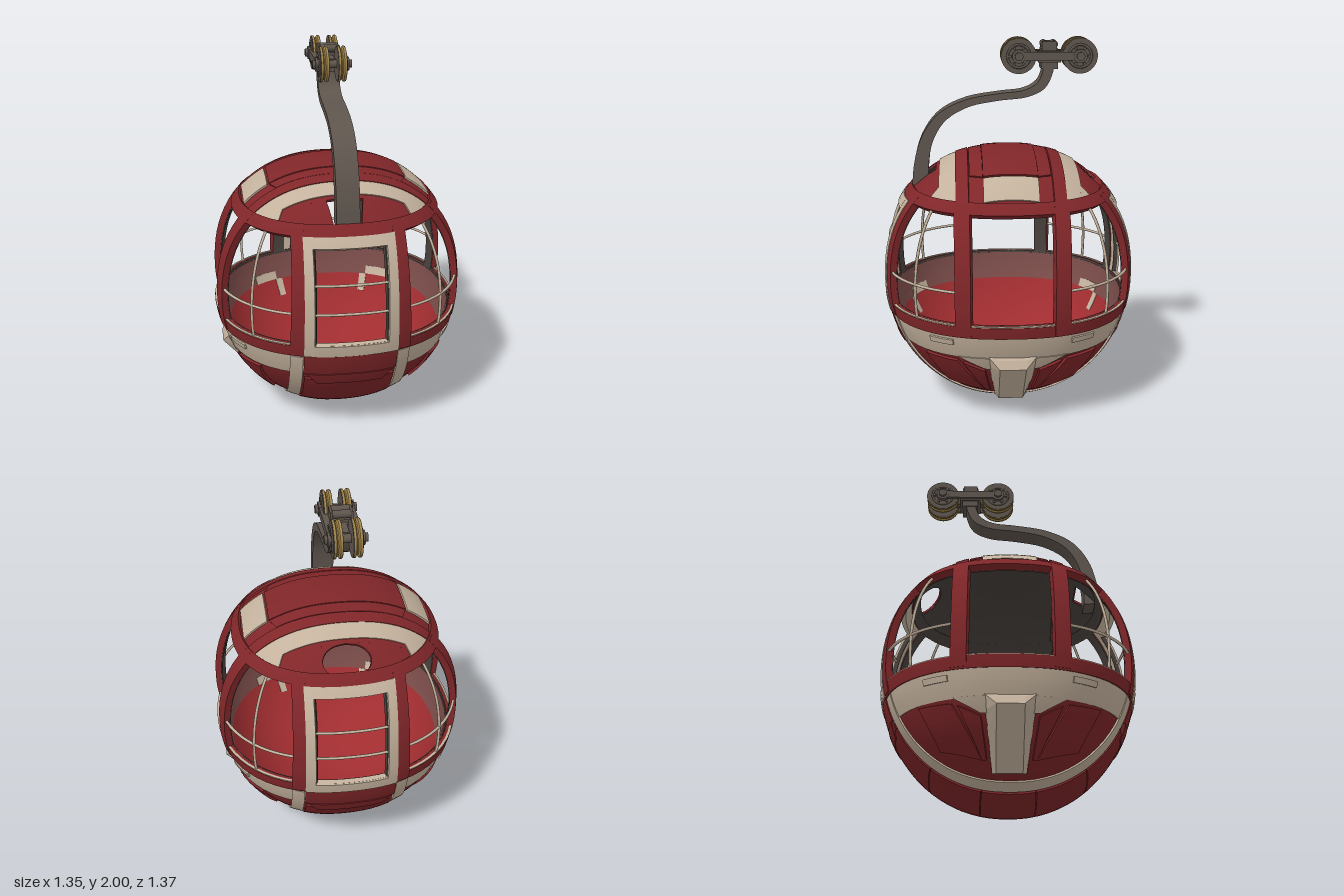
import * as THREE from 'three';
import { toCreasedNormals } from 'three/addons/utils/BufferGeometryUtils.js';
import { ConvexGeometry } from 'three/addons/geometries/ConvexGeometry.js';

const mat = (name, color) => {
  const m = new THREE.MeshStandardMaterial({ color, side: THREE.DoubleSide });
  m.name = name;
  return m;
};

// Cabin surface: a rounded, slightly squared ball
const CY = 0.72, A = 0.672, TOP = 0.68, BOTTOM = 0.708, P = 2.3;
const root = (v, e) => Math.pow(Math.max(v, 0), 1 / e);
const pw = (v, e) => Math.pow(Math.abs(v), e);
const radiusAt = y => {
  const up = y > CY, e = up ? P : 2;
  return A * root(1 - pw((y - CY) / (up ? TOP : BOTTOM), e), e);
};
const other = (h, v) => root(pw(h, P) - pw(v, P), P);
const onFront = s => (x, y) => new THREE.Vector3(x, y - CY, s * other(radiusAt(y), x));
const onSide = s => (z, y) => new THREE.Vector3(s * other(radiusAt(y), z), y - CY, z);
const onTop = (x, z) => new THREE.Vector3(x, TOP * root(1 - pw(root(pw(x, P) + pw(z, P), P) / A, P), P), z);
const around = (t, y) => {
  const s = Math.sin(t), c = Math.cos(t), r = radiusAt(y) / root(pw(s, P) + pw(c, P), P);
  return new THREE.Vector3(r * s, y - CY, r * c);
};
// Sweeps under the belly from back to front at a given x
const under = (x, t) => {
  const z = Math.sin(t) * other(A, x), h = root(pw(x, P) + pw(z, P), P);
  return new THREE.Vector3(x, -BOTTOM * root(1 - pw(h / A, 2), 2), z);
};
// Bends a four-cornered outline onto a mapping
const quad = (map, a, b, c, d) => (u, v) => map(
  (a[0] * (1 - u) + b[0] * u) * (1 - v) + (d[0] * (1 - u) + c[0] * u) * v,
  (a[1] * (1 - u) + b[1] * u) * (1 - v) + (d[1] * (1 - u) + c[1] * u) * v);
const rect = (map, u0, u1, v0, v1) => quad(map, [u0, v0], [u1, v0], [u1, v1], [u0, v1]);

// A curved plate with thickness, lying on the cabin surface
function plateGeometry(f, off, thick, nu, nv) {
  const pos = [], idx = [], n = (nu + 1) * (nv + 1);
  for (const o of [off, off - thick])
    for (let j = 0; j <= nv; j++)
      for (let i = 0; i <= nu; i++) {
        const p = f(i / nu, j / nv).multiplyScalar(1 + o / A);
        pos.push(p.x, p.y + CY, p.z);
      }
  const mid = f(0.5, 0.5);
  const normal = f(0.55, 0.5).sub(mid).cross(f(0.5, 0.55).sub(mid));
  const flip = normal.dot(mid) < 0;
  const face = (a, b, c, d) => flip ? idx.push(a, c, b, a, d, c) : idx.push(a, b, c, a, c, d);
  const at = (i, j) => j * (nu + 1) + i;
  for (let j = 0; j < nv; j++)
    for (let i = 0; i < nu; i++) {
      const a = at(i, j), b = at(i + 1, j), c = at(i + 1, j + 1), d = at(i, j + 1);
      face(a, b, c, d);
      face(n + d, n + c, n + b, n + a);
    }
  const wall = (a, b) => face(b, a, n + a, n + b);
  for (let i = 0; i < nu; i++) { wall(at(i, 0), at(i + 1, 0)); wall(at(i + 1, nv), at(i, nv)); }
  for (let j = 0; j < nv; j++) { wall(at(nu, j), at(nu, j + 1)); wall(at(0, j + 1), at(0, j)); }
  const g = new THREE.BufferGeometry();
  g.setAttribute('position', new THREE.Float32BufferAttribute(pos, 3));
  g.setIndex(idx);
  return toCreasedNormals(g, 0.6);
}

export function createModel() {
  const model = new THREE.Group();
  const red = mat('red paint', 0x802629), cream = mat('cream paint', 0xc4b29d);
  const metal = mat('dark metal', 0x5e554d), gold = mat('brass', 0xa3854a);
  const lining = mat('dark lining', 0x48413d), wallMat = mat('inner wall', 0x7a4c49);
  const floorMat = mat('inner floor', 0xa02d30);

  const add = (name, geo, m, parent = model) => {
    const mesh = new THREE.Mesh(geo, m);
    mesh.name = name;
    parent.add(mesh);
    return mesh;
  };
  const plate = (name, m, f, off, thick, nu = 10, nv = 10) => add(name, plateGeometry(f, off, thick, nu, nv), m);
  const lined = (name, m, f, off, thick, nu, nv) => {
    plate(name, m, f, off, thick, nu, nv);
    plate(name + 'Lining', lining, f, off - thick - 0.001, 0.004, nu, nv);
  };
  const FULL = Math.PI * 2, S = [1, -1];

  // Lower bowl, its inside, the belt, the two window rings and the sill
  const bowl = (t, k) => around(t, CY - BOTTOM * Math.cos(k));
  plate('lowerBowl', red, rect(bowl, 0, FULL, 0.001, 1.16), 0, 0.015, 64, 16);
  plate('innerFloor', floorMat, rect(bowl, 0, FULL, 0.001, 1.165), -0.022, 0.005, 64, 16);
  plate('innerWall', wallMat, rect(around, 0, FULL, 0.44, 0.6), -0.022, 0.005, 64, 6);
  plate('belt', cream, rect(around, 0, FULL, 0.42, 0.56), 0.004, 0.02, 64, 4);
  lined('lowerRing', red, rect(around, 0, FULL, 0.55, 0.613), 0.011, 0.03, 72, 3);
  plate('windowSill', cream, rect(around, 0, FULL, 0.61, 0.618), 0.009, 0.012, 72, 1);
  lined('upperRing', red, rect(around, 0, FULL, 1.158, 1.21), 0.014, 0.035, 72, 3);

  // Window posts, door frames and front plates
  for (const s of S) {
    const front = onFront(s), side = onSide(s);
    for (const m of S) {
      lined('doorPost', red, quad(front, [m * 0.235, 0.56], [m * 0.31, 0.56], [m * 0.285, 1.19], [m * 0.22, 1.19]), 0.015, 0.035, 3, 14);
      lined('sidePost', red, rect(side, m * 0.21, m * 0.288, 0.56, 1.2), 0.015, 0.035, 3, 14);
      plate('doorFrameSide', cream, quad(front, [m * 0.188, 0.555], [m * 0.24, 0.555], [m * 0.228, 1.158], [m * 0.183, 1.158]), 0.018, 0.035, 2, 14);
      plate('doorEdge', lining, quad(front, [m * 0.184, 0.615], [m * 0.19, 0.615], [m * 0.186, 1.112], [m * 0.178, 1.112]), 0.005, 0.025, 1, 14);
    }
    plate('doorFrameTop', cream, rect(front, -0.185, 0.185, 1.108, 1.158), 0.018, 0.035, 8, 3);
    plate('doorFrameBottom', cream, rect(front, -0.19, 0.19, 0.555, 0.617), 0.018, 0.035, 8, 3);
    plate('doorApron', red, rect(front, -0.24, 0.24, 0.43, 0.55), 0.013, 0.02, 10, 5);
    plate('doorApronLip', red, quad(front, [-0.17, 0.36], [0.17, 0.36], [0.22, 0.43], [-0.22, 0.43]), 0.017, 0.02, 10, 4);
  }

  // Belly stripes and segmented keel
  for (const s of S)
    plate('bellyStripe', cream, rect(under, s * 0.245, s * 0.31, -1.3, 1.3), 0.009, 0.02, 3, 48);
  const cuts = [-1.06, -0.64, -0.21, 0.21, 0.64, 1.06];
  for (let i = 0; i < 5; i++)
    plate('keelPanel', red, rect(under, -0.235, 0.235, cuts[i] + 0.003, cuts[i + 1] - 0.003), 0.012, 0.02, 10, 8);

  // Side brackets in two blocks, lower side panels, belt vents and their inner backs
  const waist = [[0.544, 0.26, 0.067], [0.505, 0.26, 0.105]];
  const bracketBlocks = [
    [[0.61, 0.43, 0.125], [0.575, 0.36, 0.12], [0.625, 0.415, 0.075], [0.643, 0.37, 0.068], ...waist],
    [...waist, [0.405, 0.1, 0.065], [0.365, 0.11, 0.085]]];
  for (const s of S) {
    const side = onSide(s);
    plate('beltDrop', cream, quad(side, [-0.14, 0.35], [0.14, 0.35], [0.28, 0.425], [-0.28, 0.425]), 0.007, 0.02, 12, 4);
    for (const block of bracketBlocks) {
      const pts = block.flatMap(([x, y, z]) => S.map(m => new THREE.Vector3(s * x, y, m * z)));
      add('sideBracket', new ConvexGeometry(pts), cream);
    }
    for (const m of S) {
      plate('sidePanel', red, quad(side, [m * 0.13, 0.17], [m * 0.33, 0.22], [m * 0.44, 0.41], [m * 0.28, 0.4]), 0.013, 0.02, 8, 8);
      plate('sidePanelInner', red, quad(side, [m * 0.11, 0.17], [m * 0.13, 0.17], [m * 0.25, 0.39], [m * 0.14, 0.34]), 0.013, 0.02, 6, 8);
      const turn = a => s * (m > 0 ? a : Math.PI - a);
      plate('beltVent', cream, rect(around, turn(0.9), turn(1.1), 0.5, 0.53), 0.012, 0.009, 6, 2);
      plate('innerPatch', cream, rect(around, turn(0.48), turn(0.72), 0.44, 0.49), -0.026, 0.005, 6, 2);
      plate('innerStripe', cream, rect(around, turn(0.42), turn(0.49), 0.34, 0.44), -0.026, 0.005, 3, 4);
    }
  }

  // Roof built in strips across the cabin, with an opening at each end
  const H0 = radiusAt(1.19);
  const edge = z => other(H0, z);
  const strip = (z0, z1, inner, outer) => (u, v) => {
    const z = z0 + (z1 - z0) * v, a = inner(z), b = outer(z);
    return onTop(a + (b - a) * u, z);
  };
  const wide = (z0, z1) => strip(z0, z1, z => -edge(z), edge);
  const END = H0 * 0.987, HOLE = 0.39;
  lined('roofCentre', red, wide(-0.28, 0.28), 0, 0.02, 32, 16);
  plate('roofPanel', red, rect(onTop, -0.36, 0.36, -0.14, 0.14), 0.012, 0.02, 16, 8);
  for (const s of S) {
    plate('roofSidePanel', red, quad(onTop, [-0.33, s * 0.21], [0.33, s * 0.21], [0.36, s * 0.142], [-0.36, s * 0.142]), 0.008, 0.02, 16, 4);
    plate('roofRib', red, wide(s * 0.215, s * 0.28), 0.01, 0.02, 32, 3);
    lined('roofStripeBase', red, wide(s * 0.28, s * HOLE), 0, 0.012, 32, 6);
    plate('roofStripe', cream, wide(s * 0.28, s * 0.368), 0.006, 0.01, 32, 4);
    const hole = s > 0 ? z => 0.095 - 0.2 * (z - HOLE)
      : z => 0.125 * Math.sqrt(Math.max(0, 1 - ((z + 0.46) / 0.07) ** 2));
    for (const m of S) {
      lined('roofEnd', red, strip(s * HOLE, s * END, z => m * Math.min(hole(z), edge(z)), z => m * edge(z)), 0, 0.012, 14, 20);
      plate('roofStripeCorner', cream, strip(s * 0.36, s * 0.43, z => m * (0.31 + (s * z - 0.36) * 0.6), z => m * edge(z)), 0.006, 0.01, 8, 4);
    }
    plate('roofSkylight', cream, rect(onTop, s * 0.37, s * 0.495, -0.14, 0.14), 0.011, 0.009, 8, 8);
  }

  // Thin rods across the corner windows and doors
  const tube = (name, pts) => add(name, new THREE.TubeGeometry(new THREE.CatmullRomCurve3(pts), 20, 0.008, 6), cream);
  const lift = p => p.setY(p.y + CY);
  const line = f => Array.from({ length: 9 }, (_, i) => lift(f(i / 8)));
  for (let c = 0; c < 4; c++) {
    const t = Math.PI / 4 + c * Math.PI / 2;
    tube('cornerRodUpright', line(k => around(t, 0.58 + 0.6 * k)));
    tube('cornerRodLevel', line(k => around(t - 0.36 + 0.72 * k, 0.79)));
  }
  for (const s of S)
    for (const y of [0.79, 0.94]) tube('doorRod', line(k => onFront(s)(-0.2 + 0.4 * k, y)));

  // Hanger arm: a tapering curved strap
  const spine = [[0.475, 1.2, 0.045], [0.468, 1.32, 0.04], [0.435, 1.46, 0.033], [0.355, 1.58, 0.027], [0.22, 1.655, 0.021],
    [0.05, 1.688, 0.019], [-0.1, 1.707, 0.02], [-0.18, 1.75, 0.025], [-0.214, 1.82, 0.027], [-0.22, 1.87, 0.03]];
  const path = new THREE.CatmullRomCurve3(spine.map(p => new THREE.Vector3(p[0], p[1], 0)));
  const girth = new THREE.CatmullRomCurve3(spine.map((p, i) => new THREE.Vector3(i, p[2], 0)));
  const outline = [[], []];
  for (let i = 0; i <= 40; i++) {
    const p = path.getPoint(i / 40), d = path.getTangent(i / 40), w = girth.getPoint(i / 40).y;
    S.forEach((s, k) => outline[k].push(new THREE.Vector2(p.x - s * d.y * w, p.y + s * d.x * w)));
  }
  const strap = new THREE.ExtrudeGeometry(new THREE.Shape([...outline[0], ...outline[1].reverse()]), { depth: 0.12, bevelEnabled: false });
  strap.rotateY(-Math.PI / 2).translate(0.06, 0, 0);
  add('hangerArm', toCreasedNormals(strap, 0.5), metal);

  // Trolley: frame, two axles and brass-treaded wheels
  const trolley = new THREE.Group();
  trolley.name = 'trolley';
  trolley.position.set(0, 1.905, -0.222);
  model.add(trolley);
  const box = (name, w, h, d, x, y, z) => add(name, new THREE.BoxGeometry(w, h, d), metal, trolley).position.set(x, y, z);
  const axial = (name, r, len, x, y, z) => {
    add(name, new THREE.CylinderGeometry(r, r, len, 28).rotateZ(Math.PI / 2), metal, trolley).position.set(x, y, z);
  };
  box('trolleyBeam', 0.04, 0.05, 0.3, 0, 0, 0);
  box('trolleyBlock', 0.15, 0.055, 0.12, 0, -0.005, 0);
  box('armClamp', 0.13, 0.035, 0.09, 0, -0.05, 0);
  box('rollerBase', 0.09, 0.016, 0.09, 0, 0.03, 0);
  const groove = [[0.06, -0.019], [0.094, -0.019], [0.094, -0.009], [0.082, -0.003],
    [0.082, 0.003], [0.094, 0.009], [0.094, 0.019], [0.06, 0.019]].map(q => new THREE.Vector2(...q));
  for (const s of S) {
    box('trolleySidePlate', 0.014, 0.045, 0.3, s * 0.08, 0, 0);
    axial('guideRoller', 0.02, 0.09, 0, 0.06, s * 0.026);
    box('rollerCheek', 0.012, 0.05, 0.08, s * 0.05, 0.05, 0);
    const z = s * 0.163;
    axial('axle', 0.022, 0.21, 0, 0, z);
    for (const m of S) {
      const rim = new THREE.LatheGeometry(groove, 36).rotateZ(Math.PI / 2);
      add('wheelTread', toCreasedNormals(rim, 0.4), gold, trolley).position.set(m * 0.047, 0, z);
      for (const f of S) axial('wheelFace', 0.092, 0.005, m * 0.047 + f * 0.02, 0, z);
      axial('wheelHub', 0.036, 0.02, m * 0.08, 0, z);
      add('wheelRing', new THREE.TorusGeometry(0.06, 0.007, 6, 28).rotateY(Math.PI / 2), metal, trolley).position.set(m * 0.07, 0, z);
      for (let b = 0; b < 6; b++)
        axial('wheelBolt', 0.008, 0.012, m * 0.073, 0.047 * Math.sin(b * Math.PI / 3), z + 0.047 * Math.cos(b * Math.PI / 3));
    }
  }
  return model;
}
